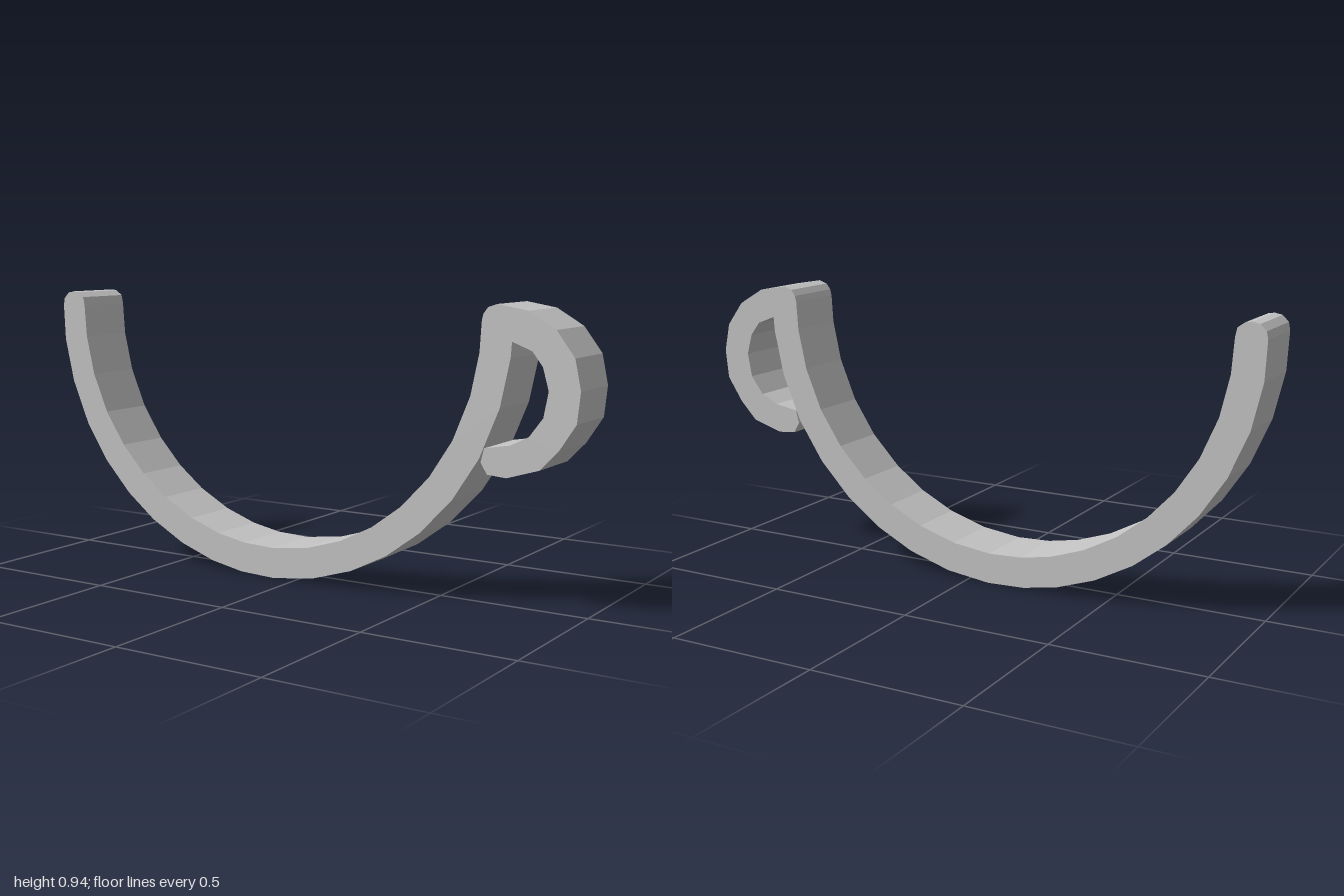
import * as THREE from 'three';

const DEPTH = 0.21;
const CX = -0.11, CY = 0.9; // centre of the large arc
const OUTER = 0.893, INNER = 0.79;

// Point on the large arc; 0 degrees is the left tip, 180 the right tip
const arcPoint = (radius, degrees) => {
  const a = THREE.MathUtils.degToRad(degrees);
  return [CX - radius * Math.cos(a), CY - radius * Math.sin(a)];
};

// Flat profile pulled through the depth, centred on z = 0
function plate(name, points, material) {
  const shape = new THREE.Shape(points.map(([x, y]) => new THREE.Vector2(x, y)));
  const geometry = new THREE.ExtrudeGeometry(shape, { depth: DEPTH, bevelEnabled: false });
  geometry.translate(0, 0, -DEPTH / 2);
  const mesh = new THREE.Mesh(geometry, material);
  mesh.name = name;
  return mesh;
}

export function createModel() {
  const group = new THREE.Group();
  group.name = 'curvedHook';
  const grey = new THREE.MeshStandardMaterial({ color: 0xc4c4c4 });
  grey.name = 'plainGrey';

  // Faceted half ring with rounded tips
  const angles = [8, 18, 28.5, 38.5, 48, 57, 66.5, 75.5, 83.5, 92, 102, 112, 121.5, 131, 141.5, 152, 163, 173];
  const leftTip = [[-0.9, 0.9], [-0.906, 0.93], [-0.93, 0.947], [-0.95, 0.95], [-0.975, 0.945], [-0.995, 0.925], [-1, 0.9]];
  const rightTip = [[0.78, 0.84], [0.78, 0.9], [0.77, 0.93], [0.73, 0.95], [0.7, 0.94], [0.685, 0.92], [0.68, 0.9]];
  const band = plate('arcBand', [
    ...leftTip,
    ...angles.map((a) => arcPoint(OUTER, a)),
    ...rightTip,
    ...[...angles].reverse().map((a) => arcPoint(INNER, a)),
  ], grey);

  // Open loop joined to the outer side of the right arm
  const loopOuter = [
    [0.73, 0.95], [0.83, 0.933], [0.92, 0.88], [0.98, 0.8], [1, 0.705], [0.99, 0.608],
    [0.936, 0.525], [0.877, 0.463], [0.77, 0.43], [0.706, 0.435], [0.684, 0.47],
  ];
  const loopInner = [
    [0.695, 0.515], [0.78, 0.53], [0.84, 0.56], [0.885, 0.62], [0.9, 0.7],
    [0.88, 0.77], [0.845, 0.815], [0.78, 0.84], [0.78, 0.9], [0.77, 0.93],
  ];
  const loop = plate('sideLoop', [...loopOuter, ...loopInner], grey);

  group.add(band, loop);
  return group;
}
